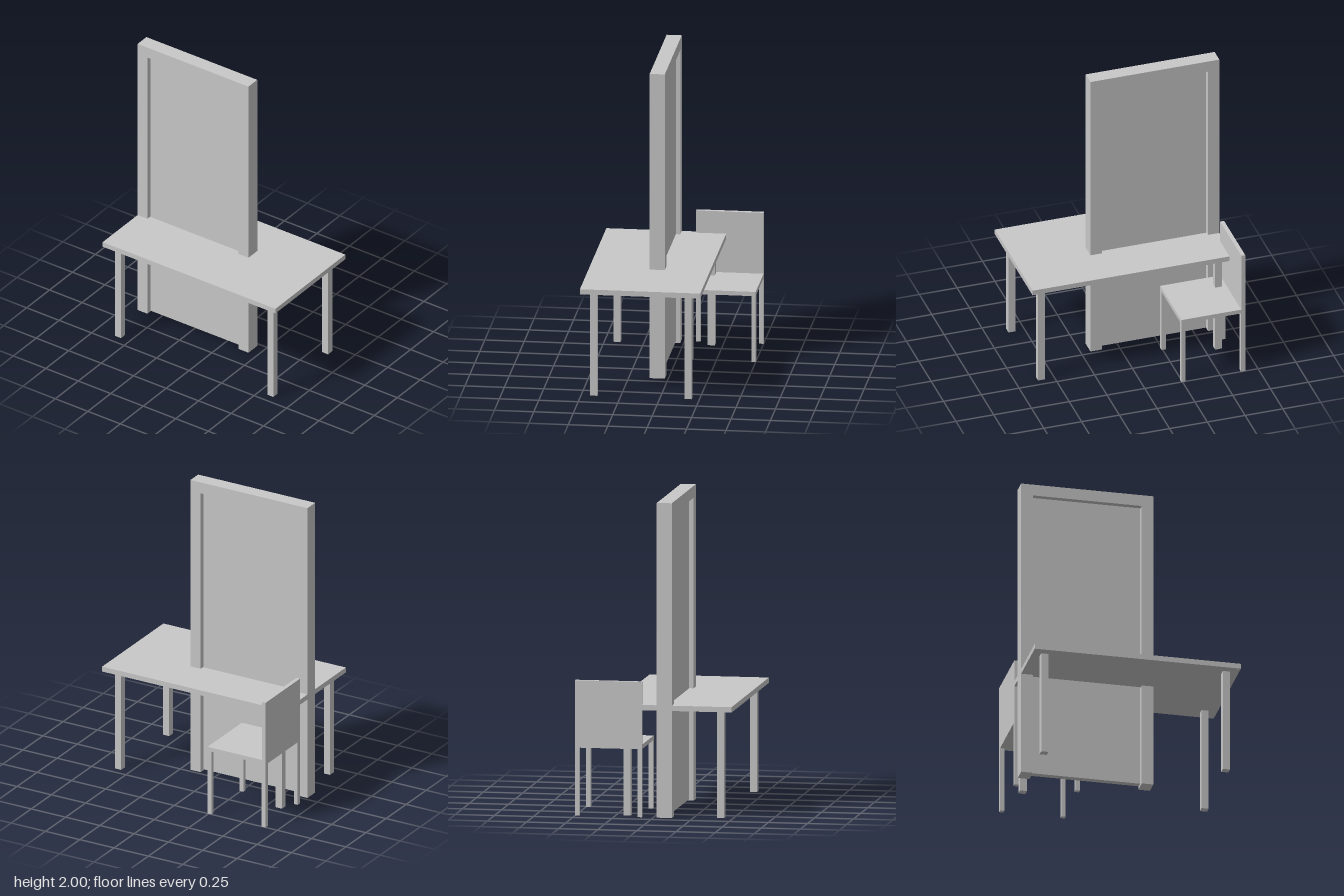
import * as THREE from 'three';

export function createModel() {
  const model = new THREE.Group();
  model.name = 'doorTableAndChair';
  const grey = new THREE.MeshStandardMaterial({ color: 0xc8c8c8 });
  grey.name = 'light grey';

  // Box given by its minimum and maximum on each axis
  function box(parent, name, [x0, x1], [y0, y1], [z0, z1]) {
    const mesh = new THREE.Mesh(new THREE.BoxGeometry(x1 - x0, y1 - y0, z1 - z0), grey);
    mesh.position.set((x0 + x1) / 2, (y0 + y1) / 2, (z0 + z1) / 2);
    mesh.name = name;
    parent.add(mesh);
  }
  function group(name) {
    const g = new THREE.Group();
    g.name = name;
    model.add(g);
    return g;
  }
  // Four square legs, given the low corner of each leg
  function legs(parent, name, xs, zs, size, height) {
    for (const x of xs) for (const z of zs)
      box(parent, name, [x, x + size], [0, height], [z, z + size]);
  }

  // Door: three-sided frame around a thinner, recessed leaf
  const door = group('door');
  const outline = [[-0.665, 0], [-0.59, 0], [-0.59, 1.925], [0.113, 1.925],
    [0.113, 0], [0.188, 0], [0.188, 2], [-0.665, 2]];
  const frame = new THREE.Mesh(new THREE.ExtrudeGeometry(
    new THREE.Shape(outline.map(([x, y]) => new THREE.Vector2(x, y))),
    { depth: 0.096, bevelEnabled: false }), grey);
  frame.position.z = 0.022;
  frame.name = 'doorFrame';
  door.add(frame);
  box(door, 'doorLeaf', [-0.586, 0.109], [0.01, 1.921], [0.05, 0.09]);

  // Table
  const table = group('table');
  box(table, 'tableTop', [-0.665, 0.665], [0.68, 0.714], [-0.263, 0.5]);
  legs(table, 'tableLeg', [-0.61, 0.562], [-0.201, 0.397], 0.046, 0.68);

  // Chair, with its back panel on the right-hand side
  const chair = group('chair');
  box(chair, 'seat', [-0.665, -0.242], [0.432, 0.46], [-0.5, -0.073]);
  box(chair, 'chairBack', [-0.665, -0.639], [0.46, 0.86], [-0.5, -0.073]);
  legs(chair, 'chairLeg', [-0.665, -0.27], [-0.5, -0.101], 0.028, 0.432);

  return model;
}
